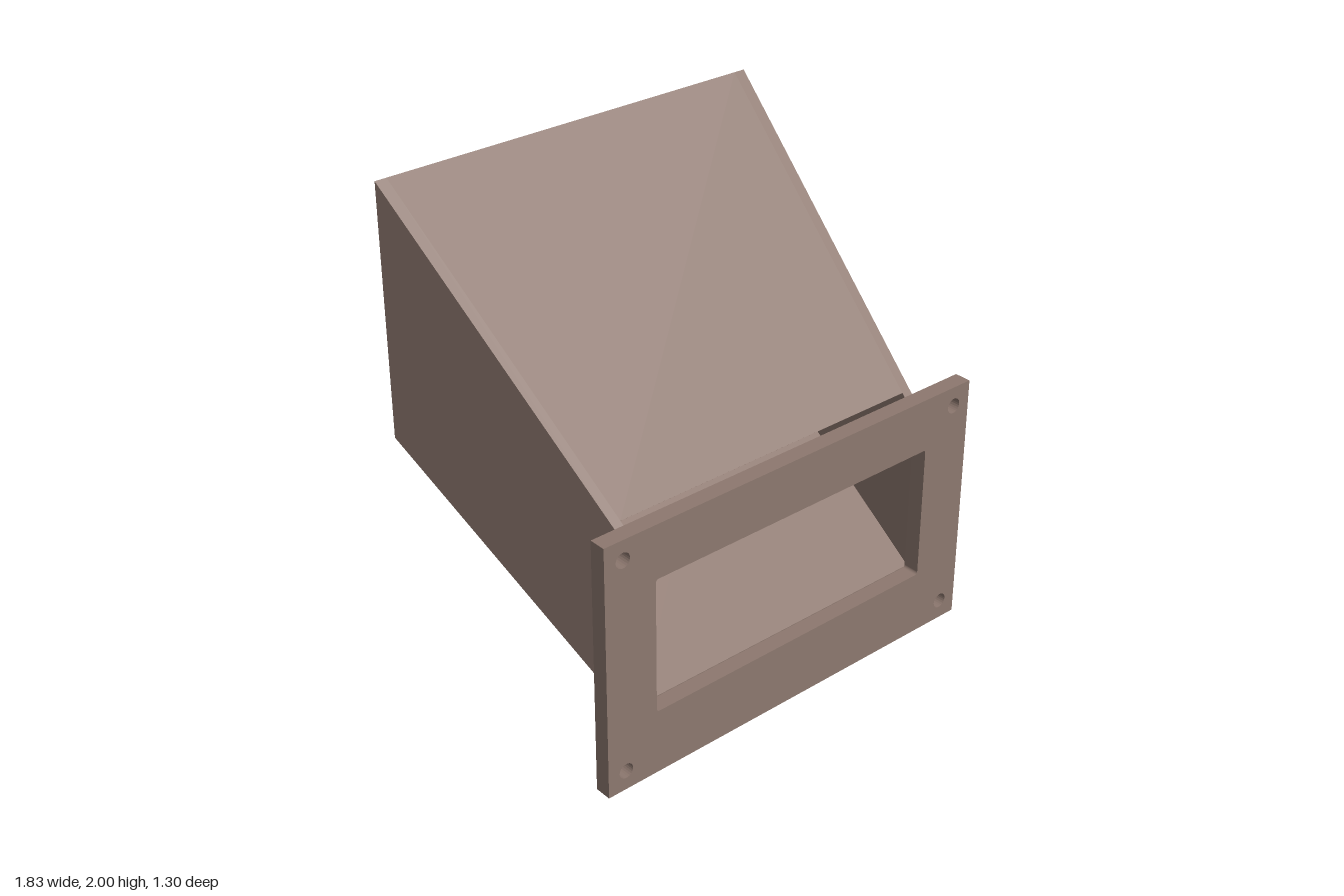
import * as THREE from 'three';

const material = new THREE.MeshStandardMaterial({ color: 0x8d786f });

// Sections of the duct, each given as x (half width), y0 (bottom), y1 (top)
const FRONT_Z = 0.58, BACK_Z = -0.65;
const outerFront = { x: 0.74, y0: 0.23, y1: 0.955 };
const outerBack = { x: 0.895, y0: 0.94, y1: 2 };
const innerFront = { x: 0.7, y0: 0.28, y1: 0.963 };
const innerBack = { x: 0.845, y0: 0.955, y1: 1.895 };

// Section between back and front at depth z
function sectionAt(back, front, z) {
  const t = (z - BACK_Z) / (FRONT_Z - BACK_Z);
  const mix = (key) => THREE.MathUtils.lerp(back[key], front[key], t);
  return { x: mix('x'), y0: mix('y0'), y1: mix('y1') };
}

// Wall panel: a box whose corners are moved by corner(sx, sy, section pair) at both ends
function panel(name, frontZ, corner) {
  const geometry = new THREE.BoxGeometry(2, 2, 2).toNonIndexed();
  const pos = geometry.attributes.position;
  for (let i = 0; i < pos.count; i++) {
    const z = pos.getZ(i) > 0 ? frontZ : BACK_Z;
    const outer = sectionAt(outerBack, outerFront, z);
    const inner = sectionAt(innerBack, innerFront, z);
    const [x, y] = corner(pos.getX(i), pos.getY(i), outer, inner);
    pos.setXYZ(i, x, y, z);
  }
  geometry.computeVertexNormals();
  const mesh = new THREE.Mesh(geometry, material);
  mesh.name = name;
  return mesh;
}

// Mounting plate with a rounded window and four bolt holes
function makeFlange() {
  const w = 0.915, h = 1.08, depth = 0.07;
  const shape = new THREE.Shape();
  shape.moveTo(-w, 0).lineTo(w, 0).lineTo(w, h).lineTo(-w, h).closePath();

  const hx = 0.685, y0 = 0.277, y1 = 0.853, r = 0.012;
  const opening = new THREE.Path();
  opening.moveTo(-hx + r, y0);
  opening.lineTo(hx - r, y0);
  opening.absarc(hx - r, y0 + r, r, -Math.PI / 2, 0);
  opening.absarc(hx - r, y1 - r, r, 0, Math.PI / 2);
  opening.absarc(-hx + r, y1 - r, r, Math.PI / 2, Math.PI);
  opening.absarc(-hx + r, y0 + r, r, Math.PI, Math.PI * 1.5);
  shape.holes.push(opening);

  for (const x of [-0.832, 0.832]) {
    for (const y of [0.083, 0.997]) {
      shape.holes.push(new THREE.Path().absarc(x, y, 0.032, 0, Math.PI * 2, true));
    }
  }
  const geometry = new THREE.ExtrudeGeometry(shape, { depth, bevelEnabled: false, curveSegments: 12 });
  const mesh = new THREE.Mesh(geometry, material);
  mesh.name = 'mountingFlange';
  mesh.position.z = FRONT_Z;
  return mesh;
}

export function createModel() {
  const model = new THREE.Group();
  model.name = 'flangedDuct';
  model.add(makeFlange());

  const duct = new THREE.Group();
  duct.name = 'duct';

  // Side walls, full height
  for (const side of [1, -1]) {
    duct.add(panel(side > 0 ? 'leftWall' : 'rightWall', FRONT_Z, (sx, sy, outer, inner) => [
      side * (sx * side > 0 ? outer.x : inner.x),
      sy > 0 ? outer.y1 : outer.y0,
    ]));
  }

  // Floor between the side walls
  duct.add(panel('floor', FRONT_Z, (sx, sy, outer, inner) => [
    sx * inner.x, sy > 0 ? inner.y0 : outer.y0,
  ]));

  // Roof tapers to a knife edge, leaving a narrow slot behind the flange
  const roofEndZ = 0.49;
  duct.add(panel('roof', roofEndZ, (sx, sy, outer, inner) => [
    sx * inner.x, sy > 0 ? outer.y1 : Math.min(inner.y1, outer.y1),
  ]));

  model.add(duct);
  return model;
}
